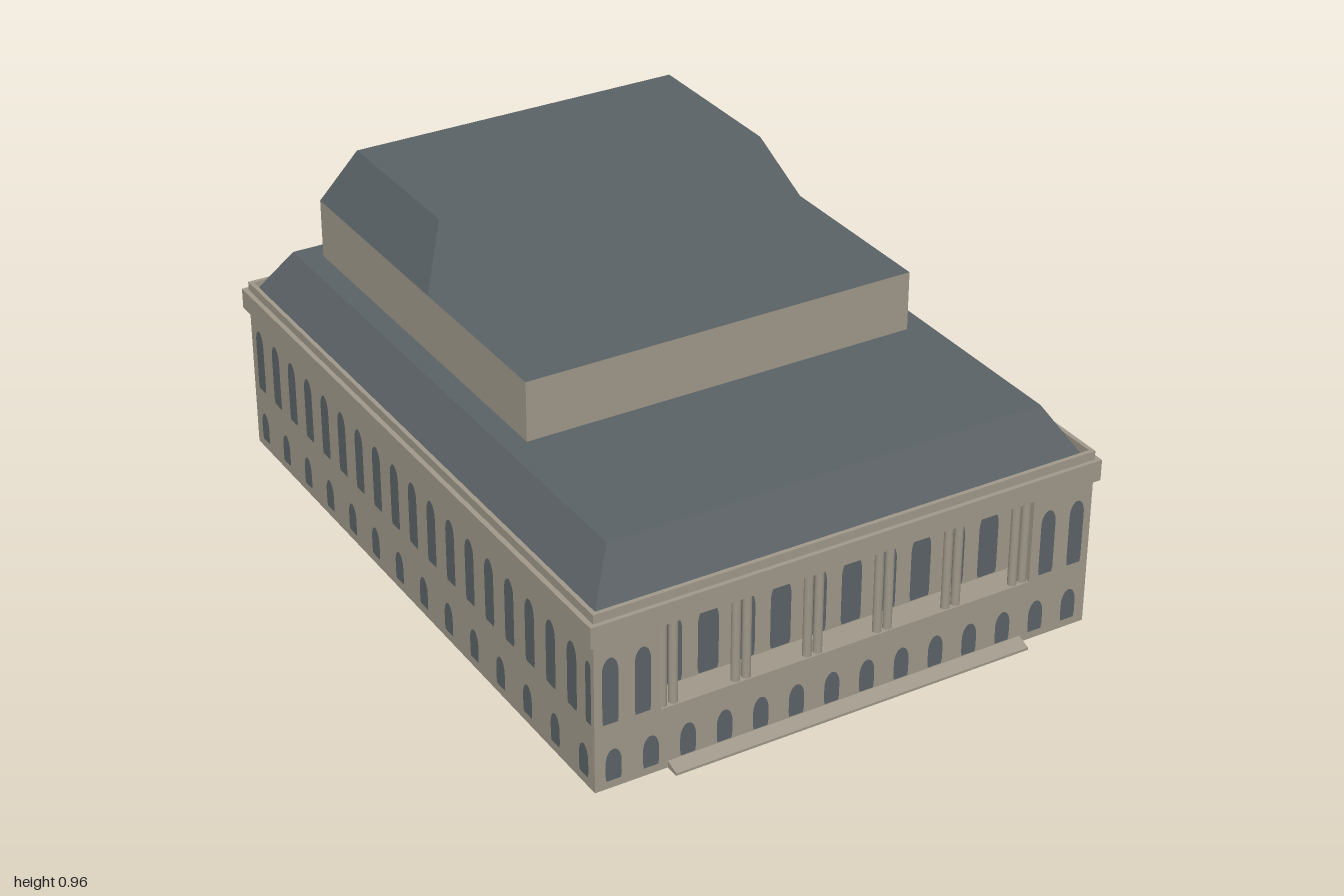
import * as THREE from 'three';

const stone = new THREE.MeshStandardMaterial({ color: 0x9f988a, side: THREE.DoubleSide });
stone.name = 'stone';
const slate = new THREE.MeshStandardMaterial({ color: 0x5b6266, side: THREE.DoubleSide });
slate.name = 'slate';

const HALF_X = 0.735, FRONT = 0.96, BACK = -0.985, MID = (FRONT + BACK) / 2, WALL_H = 0.43;
const LOGGIA = { half: 0.55, floor: 0.18, back: 0.88 };

function add(parent, name, geometry, material, x = 0, y = 0, z = 0) {
  const mesh = new THREE.Mesh(geometry, material);
  mesh.name = name;
  mesh.position.set(x, y, z);
  parent.add(mesh);
  return mesh;
}

// Box given by half width, height range and z range
function block(parent, name, half, y0, y1, z0, z1, material) {
  const geometry = new THREE.BoxGeometry(half * 2, y1 - y0, z1 - z0);
  return add(parent, name, geometry, material, 0, (y0 + y1) / 2, (z0 + z1) / 2);
}

// Box whose top is drawn in to form a hipped roof
function hippedRoof(parent, name, base, top, inset) {
  const w = base.half * 2, d = base.z1 - base.z0;
  const geometry = new THREE.BoxGeometry(w, top - base.y, d);
  const p = geometry.attributes.position;
  for (let i = 0; i < p.count; i++) {
    if (p.getY(i) > 0) {
      p.setX(i, p.getX(i) * (1 - 2 * inset / w));
      p.setZ(i, p.getZ(i) * (1 - 2 * inset / d));
    }
  }
  geometry.computeVertexNormals();
  add(parent, name, geometry, slate, 0, (base.y + top) / 2, (base.z0 + base.z1) / 2);
}

const polygon = (...pts) => new THREE.Shape(pts.map(([x, y]) => new THREE.Vector2(x, y)));

// Arched window outline
function arch({ x, y0, y1, w }) {
  const h = w / 2, spring = y1 - w * 0.9;
  const s = new THREE.Shape();
  s.moveTo(x - h * 0.9, y0);
  s.lineTo(x + h * 0.9, y0);
  s.lineTo(x + h, y0 + 0.015);
  s.lineTo(x + h, spring);
  s.absellipse(x, spring, h, y1 - spring, 0, Math.PI, false);
  s.lineTo(x - h, y0 + 0.015);
  s.closePath();
  return s;
}

// Evenly spaced row of windows
const row = (count, first, last, y0, y1, w) => Array.from({ length: count },
  (_, i) => ({ x: first + (last - first) * i / (count - 1), y0, y1, w }));

// Wall sheet with its window panes set flush in the openings
function wall(parent, name, outline, windows) {
  const group = new THREE.Group();
  group.name = name;
  outline.holes = windows.map(arch);
  add(group, 'masonry', new THREE.ShapeGeometry(outline, 8), stone);
  add(group, 'windows', new THREE.ShapeGeometry(windows.map(arch), 8), slate);
  parent.add(group);
  return group;
}

const rect = (half, y0, y1) => polygon([-half, y0], [half, y0], [half, y1], [-half, y1]);

export function createModel() {
  const model = new THREE.Group();
  model.name = 'palaceBuilding';

  // Front wall, notched for the loggia
  const L = LOGGIA;
  const lower = row(14, -0.6825, 0.6825, 0.022, 0.113, 0.045);
  const front = polygon([-HALF_X, 0], [HALF_X, 0], [HALF_X, WALL_H], [L.half, WALL_H],
    [L.half, L.floor], [-L.half, L.floor], [-L.half, WALL_H], [-HALF_X, WALL_H]);
  const outer = [-0.69, -0.6, 0.6, 0.69].map((x) => ({ x, y0: 0.19, y1: 0.38, w: 0.045 }));
  wall(model, 'frontWall', front, [...lower, ...outer]).position.z = FRONT;

  // Back wall
  const backUpper = row(14, -0.6825, 0.6825, 0.19, 0.38, 0.046);
  const back = wall(model, 'backWall', rect(HALF_X, 0, WALL_H), [...lower, ...backUpper]);
  back.position.z = BACK;
  back.rotation.y = Math.PI;

  // Side walls, mirrored
  for (const side of [1, -1]) {
    const u = (z) => side * (MID - z);
    const windows = [
      ...row(14, u(0.906), u(-0.93), 0.025, 0.115, 0.045),
      ...row(18, u(0.853), u(-0.933), 0.19, 0.38, 0.047),
      { x: u(0.932), y0: 0.19, y1: 0.37, w: 0.026 },
    ];
    const sideWall = wall(model, side > 0 ? 'leftWall' : 'rightWall',
      rect((FRONT - BACK) / 2, 0, WALL_H), windows);
    sideWall.position.set(side * HALF_X, 0, MID);
    sideWall.rotation.y = side * Math.PI / 2;
  }

  // Recessed loggia: back wall, floor, cheeks and paired columns
  const loggia = new THREE.Group();
  loggia.name = 'loggia';
  model.add(loggia);
  wall(loggia, 'loggiaWall', rect(L.half, L.floor, WALL_H),
    row(10, -0.4725, 0.4725, L.floor + 0.002, 0.38, 0.06)).position.z = L.back;
  const depth = FRONT - L.back, midZ = (FRONT + L.back) / 2;
  add(loggia, 'loggiaFloor', new THREE.PlaneGeometry(L.half * 2, depth), stone, 0, L.floor, midZ)
    .rotation.x = -Math.PI / 2;
  for (const side of [1, -1]) {
    add(loggia, 'loggiaCheek', new THREE.PlaneGeometry(depth, WALL_H - L.floor), stone,
      side * L.half, (WALL_H + L.floor) / 2, midZ).rotation.y = -side * Math.PI / 2;
  }
  const column = new THREE.CylinderGeometry(0.0125, 0.0125, WALL_H - L.floor, 10);
  for (let i = 0; i < 6; i++) {
    for (const offset of [-0.0155, 0.0155]) {
      add(loggia, 'column', column, stone, -0.522 + i * 0.2088 + offset,
        (WALL_H + L.floor) / 2, FRONT - 0.016);
    }
  }

  // Sloping front step
  const stepGeometry = new THREE.ExtrudeGeometry(
    polygon([0, 0], [0.04, 0], [0.04, 0.007], [0, 0.02]), { depth: 1.06, bevelEnabled: false });
  stepGeometry.rotateY(-Math.PI / 2);
  add(model, 'frontStep', stepGeometry, stone, 0.53, 0, FRONT);

  // Cornice and hollow parapet
  block(model, 'cornice', 0.749, WALL_H, 0.49, -1, 0.972, stone);
  const parapet = polygon([-HALF_X, -FRONT], [HALF_X, -FRONT], [HALF_X, -BACK], [-HALF_X, -BACK]);
  const t = 0.012;
  parapet.holes.push(polygon([-HALF_X + t, -FRONT + t], [HALF_X - t, -FRONT + t],
    [HALF_X - t, -BACK - t], [-HALF_X + t, -BACK - t]));
  const parapetGeometry = new THREE.ExtrudeGeometry(parapet, { depth: 0.025, bevelEnabled: false });
  parapetGeometry.rotateX(-Math.PI / 2);
  add(model, 'parapet', parapetGeometry, stone, 0, 0.49, 0);

  // Roofs and attic storey
  hippedRoof(model, 'lowerRoof', { half: 0.718, y: 0.49, z0: -0.972, z1: 0.935 }, 0.625, 0.083);
  block(model, 'attic', 0.573, 0.625, 0.795, -0.825, 0.347,
    [stone, stone, slate, stone, stone, stone]);
  hippedRoof(model, 'upperRoof', { half: 0.573, y: 0.795, z0: -0.825, z1: -0.18 }, 0.96, 0.081);

  return model;
}
